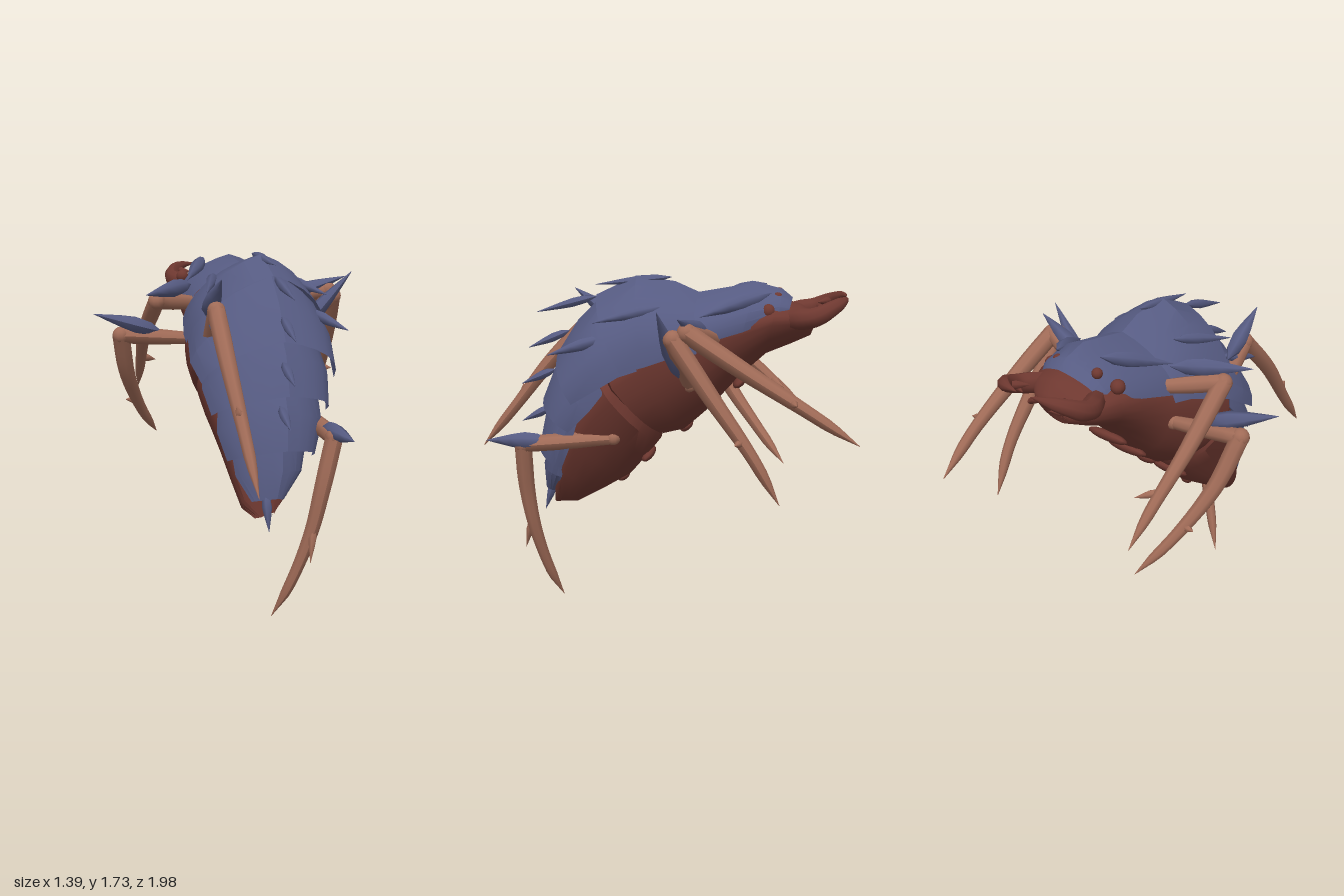
import * as THREE from 'three';
import { toCreasedNormals } from 'three/addons/utils/BufferGeometryUtils.js';

const mat = (name, color, side = THREE.FrontSide) => {
  const m = new THREE.MeshStandardMaterial({ color, side });
  m.name = name;
  return m;
};
const V = (p) => new THREE.Vector3(...p);

export function createModel() {
  const group = new THREE.Group();
  const shell = mat('slate blue shell', 0x565b82, THREE.DoubleSide);
  const flesh = mat('dark red body', 0x6e3830);
  const limb = mat('brown leg', 0xa06b57);

  const add = (name, geometry, material, parent = group) => {
    const mesh = new THREE.Mesh(geometry, material);
    mesh.name = name;
    parent.add(mesh);
    return mesh;
  };

  // Skin over cross-sections. Row: seam z,y / ridge z,y / half width / centre x / belly z,y
  const loft = (rows, steps, arc, crease) => {
    const pos = [], index = [];
    rows.forEach(([sz, sy, dz, dy, w, cx, bz, by]) => {
      for (let i = 0; i <= steps; i++) {
        const a = (arc * i) / steps, s = Math.sin(a);
        // The back is roof shaped, the belly is round
        const roof = 1 - Math.abs(a - Math.PI / 2) / (Math.PI / 2);
        const up = s >= 0 ? 0.55 * s + 0.45 * roof : -s;
        const z = s >= 0 ? sz + (dz - sz) * up : sz + (bz - sz) * up;
        const y = s >= 0 ? sy + (dy - sy) * up : sy + (by - sy) * up;
        pos.push(cx + w * Math.cos(a) + 0.04 * s, y, z);
      }
    });
    const n = steps + 1;
    for (let j = 0; j < rows.length - 1; j++)
      for (let i = 0; i < steps; i++) {
        const p = j * n + i, q = p + n;
        index.push(p, p + 1, q, p + 1, q + 1, q);
      }
    const g = new THREE.BufferGeometry();
    g.setAttribute('position', new THREE.Float32BufferAttribute(pos, 3));
    g.setIndex(index);
    return toCreasedNormals(g, crease);
  };

  // Tube through points whose radius follows a list of values
  const taper = (points, radii, sides = 8) => {
    const curve = new THREE.CatmullRomCurve3(points.map(V));
    const segs = (points.length - 1) * 5;
    const g = new THREE.TubeGeometry(curve, segs, 1, sides, false);
    const p = g.attributes.position, v = new THREE.Vector3();
    for (let i = 0; i <= segs; i++) {
      const c = curve.getPointAt(i / segs);
      const f = (i / segs) * (radii.length - 1), k = Math.min(Math.floor(f), radii.length - 2);
      const r = THREE.MathUtils.lerp(radii[k], radii[k + 1], f - k);
      for (let j = 0; j <= sides; j++) {
        const id = i * (sides + 1) + j;
        v.fromBufferAttribute(p, id).sub(c).multiplyScalar(r).add(c);
        p.setXYZ(id, v.x, v.y, v.z);
      }
    }
    g.computeVertexNormals();
    return g;
  };
  const spike = (name, a, b, r, material = shell, parent = group) =>
    add(name, taper([a, b], [0.002, r * 0.85, r, r * 0.75, r * 0.4, 0.001], 6), material, parent);
  const ball = (name, p, r, material, parent = group) => {
    const m = add(name, new THREE.SphereGeometry(r, 12, 8), material, parent);
    m.position.set(...p);
    return m;
  };

  // Head and thorax, then the abdomen tucked in behind
  add('headAndThorax', loft([
    [-0.785, 1.52, -0.785, 1.53, 0.01, 0.04, -0.78, 1.50],
    [-0.77, 1.52, -0.77, 1.57, 0.09, 0.04, -0.76, 1.45],
    [-0.70, 1.53, -0.71, 1.61, 0.18, 0.04, -0.67, 1.41],
    [-0.58, 1.53, -0.60, 1.64, 0.235, 0.045, -0.55, 1.36],
    [-0.40, 1.47, -0.38, 1.63, 0.24, 0.055, -0.43, 1.25],
    [-0.24, 1.42, -0.20, 1.56, 0.27, 0.065, -0.28, 1.08],
    [0.00, 1.33, 0.04, 1.53, 0.325, 0.07, -0.16, 0.97],
    [0.15, 1.23, 0.23, 1.42, 0.325, 0.07, -0.06, 0.945],
    [0.17, 1.20, 0.24, 1.36, 0.25, 0.07, -0.02, 0.99],
  ], 28, Math.PI * 2, 0.7), flesh);
  add('abdomen', loft([
    [0.12, 1.20, 0.22, 1.36, 0.25, 0.07, -0.05, 0.98],
    [0.165, 1.16, 0.28, 1.32, 0.30, 0.07, -0.03, 0.91],
    [0.26, 1.06, 0.36, 1.22, 0.275, 0.065, 0.03, 0.83],
    [0.37, 0.90, 0.45, 1.02, 0.215, 0.055, 0.13, 0.71],
    [0.44, 0.74, 0.50, 0.82, 0.16, 0.035, 0.27, 0.62],
    [0.49, 0.61, 0.53, 0.66, 0.10, 0.01, 0.42, 0.53],
    [0.53, 0.53, 0.535, 0.55, 0.02, 0.0, 0.51, 0.52],
  ], 28, Math.PI * 2, 0.7), flesh);

  // Overlapping back plates, head to tail
  const plates = {
    neckPlate: [
      [-0.65, 1.57, -0.67, 1.64, 0.155, 0.045], [-0.61, 1.56, -0.62, 1.68, 0.19, 0.045],
      [-0.45, 1.50, -0.50, 1.71, 0.25, 0.055], [-0.22, 1.43, -0.22, 1.66, 0.275, 0.065]],
    shoulderPlate: [
      [-0.24, 1.40, -0.26, 1.645, 0.285, 0.065], [-0.15, 1.39, -0.11, 1.71, 0.31, 0.07],
      [0.00, 1.34, 0.08, 1.735, 0.34, 0.07], [0.11, 1.31, 0.28, 1.64, 0.35, 0.07]],
    backPlate1: [
      [0.03, 1.32, 0.12, 1.66, 0.325, 0.07], [0.12, 1.29, 0.25, 1.635, 0.34, 0.07],
      [0.22, 1.23, 0.37, 1.52, 0.355, 0.07], [0.35, 1.15, 0.48, 1.35, 0.33, 0.07]],
    backPlate2: [
      [0.20, 1.20, 0.35, 1.46, 0.29, 0.07], [0.27, 1.11, 0.49, 1.29, 0.31, 0.07],
      [0.38, 1.00, 0.565, 1.11, 0.285, 0.065]],
    backPlate3: [
      [0.34, 1.05, 0.46, 1.18, 0.245, 0.065], [0.38, 0.92, 0.555, 1.03, 0.255, 0.06],
      [0.44, 0.79, 0.595, 0.86, 0.21, 0.05]],
    tailPlate: [
      [0.42, 0.84, 0.53, 0.92, 0.18, 0.045], [0.46, 0.72, 0.58, 0.76, 0.155, 0.03],
      [0.53, 0.61, 0.58, 0.63, 0.07, 0.005]],
  };
  for (const [name, rows] of Object.entries(plates))
    add(name, loft(rows, 12, Math.PI, 0.45), shell);

  // Spines along the ridge, then down the flanks
  [
    [[0.11, 1.73, -0.09], [0.12, 1.69, 0.28]],
    [[0.12, 1.635, 0.27], [0.12, 1.55, 0.58]],
    [[0.11, 1.46, 0.42], [0.11, 1.37, 0.63]],
    [[0.09, 1.26, 0.50], [0.09, 1.18, 0.68]],
    [[0.07, 1.06, 0.53], [0.07, 0.98, 0.69]],
    [[0.0, 0.66, 0.54], [0.0, 0.48, 0.60]],
  ].forEach(([a, b]) => spike('ridgeSpine', a, b, 0.024));
  [
    [[-0.04, 1.69, -0.54], [-0.20, 1.59, -0.23], 0.036],
    [[0.19, 1.67, -0.57], [0.35, 1.57, -0.25], 0.036],
    [[-0.09, 1.63, -0.09], [-0.20, 1.56, 0.22], 0.027],
    [[0.28, 1.61, -0.09], [0.40, 1.54, 0.24], 0.027],
    [[-0.17, 1.46, 0.20], [-0.22, 1.39, 0.44], 0.028],
    [[0.32, 1.46, 0.20], [0.43, 1.39, 0.45], 0.028],
  ].forEach(([a, b, r]) => spike('flankSpine', a, b, r));

  // Legs: upper path to the knee, lower path to the tip, barb and knee spike
  const legs = [
    { name: 'frontLeftLeg', hip: [0.25, 1.45, -0.33], knee: [0.57, 1.53, -0.22],
      low: [[0.595, 1.37, -0.48], [0.60, 1.2, -0.76], [0.575, 1.05, -0.99]],
      barb: [0.66, 1.24, -0.71], spike: [[0.30, 1.48, -0.28], [0.66, 1.6, -0.19]] },
    { name: 'middleLeftLeg', hip: [0.28, 1.24, -0.2], knee: [0.58, 1.5, -0.16],
      low: [[0.615, 1.25, -0.34], [0.63, 1.0, -0.52], [0.61, 0.77, -0.65]],
      barb: [0.69, 1.06, -0.45], spike: [[0.36, 1.28, -0.17], [0.66, 1.63, -0.1]] },
    { name: 'rearLeftLeg', hip: [0.285, 0.965, 0.17], knee: [0.305, 0.92, 0.62],
      low: [[0.25, 0.68, 0.625], [0.205, 0.46, 0.605], [0.12, 0.19, 0.555], [0.045, 0.01, 0.5]],
      barb: [0.185, 0.33, 0.66], spike: [[0.3, 0.94, 0.48], [0.33, 0.94, 0.8]] },
    { name: 'frontRightLeg', hip: [-0.14, 1.47, -0.27], knee: [-0.385, 1.5, -0.1],
      low: [[-0.405, 1.3, -0.38], [-0.39, 1.1, -0.62], [-0.38, 0.95, -0.78]],
      barb: [-0.3, 1.12, -0.64], spike: [[-0.18, 1.57, -0.23], [-0.46, 1.54, 0.03]] },
    { name: 'middleRightLeg', hip: [-0.2, 1.29, -0.23], knee: [-0.555, 1.32, -0.2],
      low: [[-0.51, 1.1, -0.32], [-0.41, 0.87, -0.5], [-0.3, 0.7, -0.65]],
      barb: [-0.5, 0.93, -0.47], spike: [[-0.34, 1.33, -0.22], [-0.7, 1.44, -0.12]] },
    { name: 'rearRightLeg', hip: [-0.18, 1.22, 0.12], knee: [-0.19, 1.49, 0.36],
      low: [[-0.19, 1.25, 0.6], [-0.175, 1.0, 0.8], [-0.165, 0.77, 0.99]],
      barb: [-0.2, 1.12, 0.76], spike: [[-0.2, 1.45, 0.2], [-0.19, 1.64, 0.46]] },
  ];
  legs.forEach(({ name, hip, knee, low, barb, spike: sp }) => {
    const leg = new THREE.Group();
    leg.name = name;
    group.add(leg);
    ball('hip', hip, 0.036, limb, leg);
    add('upperLeg', taper([hip, knee], [0.032, 0.042, 0.042]), limb, leg);
    ball('knee', knee, 0.044, limb, leg);
    add('lowerLeg', taper([knee, ...low], [0.044, 0.044, 0.04, 0.035, 0.03, 0.026, 0.001]), limb, leg);
    spike('kneeSpike', sp[0], sp[1], 0.044, shell, leg);
    const root = V(low[0]).lerp(V(low[1]), 0.75).toArray();
    spike('barb', root, barb, 0.02, limb, leg);
  });

  // Jaws, teeth, palps and eyes on each side of the head
  for (const s of [-1, 1]) {
    const at = (x, y, z) => [0.04 + s * x, y, z];
    add('jaw', taper([at(0.13, 1.545, -0.62), at(0.205, 1.565, -0.77), at(0.18, 1.61, -0.86),
      at(0.11, 1.635, -0.91), at(0.04, 1.64, -0.925)], [0.04, 0.05, 0.042, 0.028, 0.001]), flesh);
    spike('jawTooth', at(0.17, 1.605, -0.86), at(0.10, 1.6, -0.79), 0.02, flesh);
    spike('jawTooth', at(0.2, 1.575, -0.79), at(0.12, 1.57, -0.82), 0.018, flesh);
    add('palp', taper([at(0.07, 1.52, -0.73), at(0.09, 1.53, -0.8), at(0.06, 1.55, -0.85)],
      [0.018, 0.016, 0.001], 6), flesh);
    ball('largeEye', at(0.195, 1.59, -0.56), 0.034, flesh);
    ball('smallEye', at(0.115, 1.645, -0.6), 0.025, flesh);
  }

  // Raised ribs across the belly
  [[0.04, 1.22, -0.425, 0.12], [0.03, 1.10, -0.30, 0.12], [0.03, 0.98, -0.16, 0.06],
    [0.03, 0.82, 0.035, 0.11], [0.02, 0.695, 0.17, 0.03]].forEach(([x, y, z, w]) => {
    const rib = ball('bellyRib', [x, y, z], 1, flesh);
    rib.scale.set(w, 0.025, 0.04);
    rib.rotation.x = 0.75;
  });

  return group;
}
